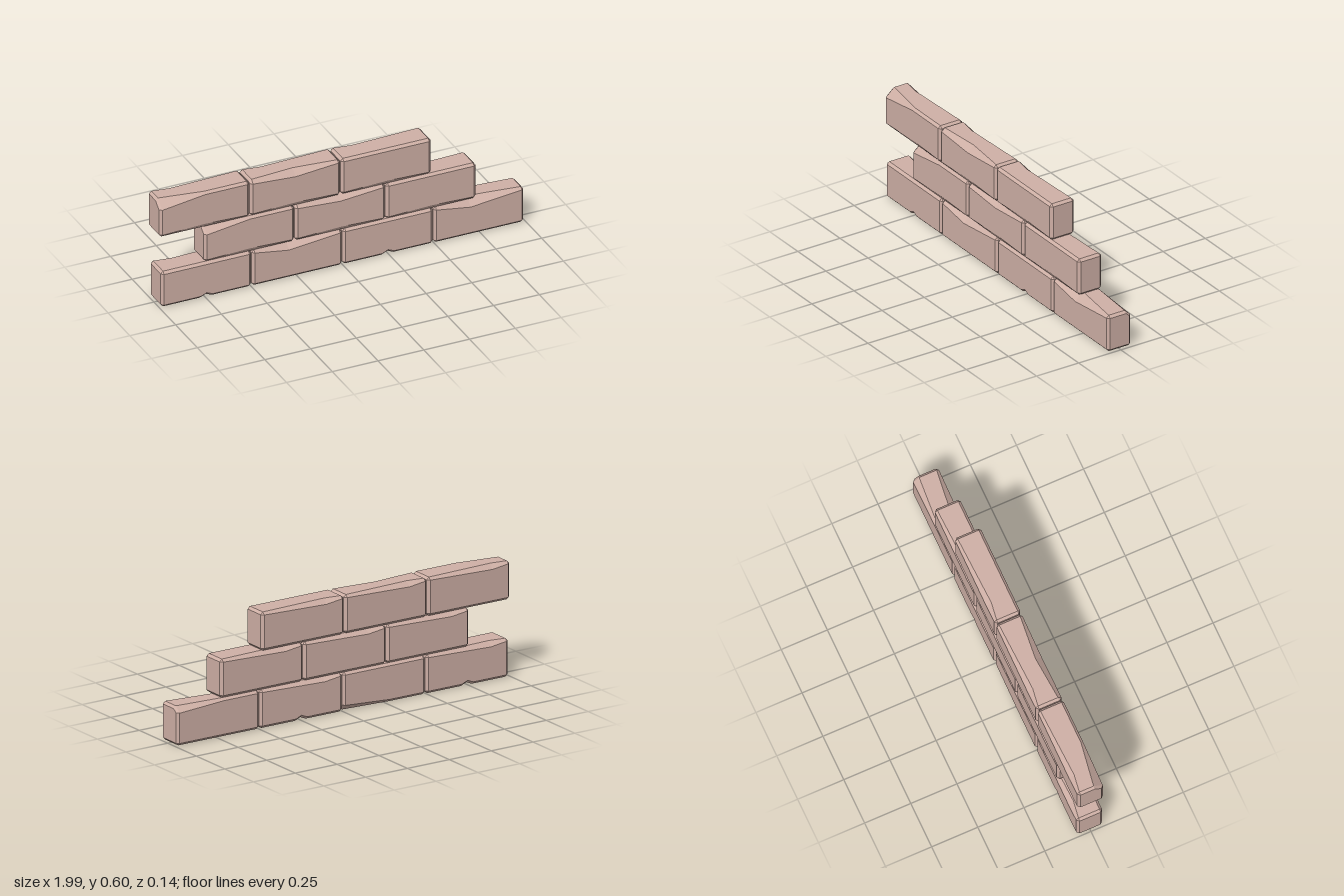
import * as THREE from 'three';

const C = 0.013;   // normal bevel
const H = 0.2;     // course height
const D = 0.07;    // half depth

// Linear interpolation through [t, value] pairs
function at(keys, t) {
  for (let i = 1; i < keys.length; i++) {
    const [t0, a] = keys[i - 1], [t1, b] = keys[i];
    if (t <= t1) return a + (b - a) * (t - t0) / (t1 - t0);
  }
  return keys[keys.length - 1][1];
}
const plain = [[0, C], [1, C]];

// Bevelled brick lofted along x; each long edge has its own wear profile
function brickGeometry(width, wear) {
  const { ft = plain, bt = plain, fb = plain, bb = plain, notch = 0 } = wear;
  const stations = [0, 0.2, 0.4, 0.43, 0.5, 0.57, 0.75, 1];
  const section = (t) => {
    const a = at(ft, t), b = at(bt, t), c = at(fb, t), d = at(bb, t);
    const set = (v) => C + (v - C) * 1.15;
    const y0 = t === 0.5 ? notch : 0;
    return [
      [y0, D - C], [c + y0, D], [H - a, D], [H, D - set(a)],
      [H, -D + set(b)], [H - b, -D], [d + y0, -D], [y0, -D + set(d)],
    ];
  };
  const rings = stations.map((t) => section(t).map(([y, z]) => [C + t * (width - 2 * C), y, z]));
  // End caps are pulled inside the bevel
  const cap = (ring, x) => ring.map(([, y, z]) => [x,
    Math.min(H - C, Math.max(C, y)), Math.min(D - C, Math.max(C - D, z))]);
  rings.unshift(cap(rings[0], 0));
  rings.push(cap(rings[rings.length - 1], width));

  const pos = rings.flat(2), idx = [], n = 8, last = (rings.length - 1) * n;
  for (let r = 0; r < rings.length - 1; r++) {
    for (let j = 0; j < n; j++) {
      const a = r * n + j, b = r * n + (j + 1) % n;
      idx.push(a, a + n, b, b, a + n, b + n);
    }
  }
  for (let j = 1; j < n - 1; j++) {
    idx.push(0, j, j + 1);
    idx.push(last, last + j + 1, last + j);
  }
  const geo = new THREE.BufferGeometry();
  geo.setAttribute('position', new THREE.Float32BufferAttribute(pos, 3));
  geo.setIndex(idx);
  const flat = geo.toNonIndexed();
  flat.computeVertexNormals();
  return flat;
}

export function createModel() {
  const group = new THREE.Group();
  group.name = 'brickWall';
  const clay = new THREE.MeshStandardMaterial({ color: 0xcfb0a6 });
  clay.name = 'paleClay';

  // Wear profiles
  const dip = [[0, C], [0.4, 0.042], [1, C]];
  const leftChip = [[0, 0.045], [0.5, C], [1, C]];
  const sag = [[0, 0.018], [0.5, 0.033], [1, C]];
  const arch = [[0, C], [0.5, 0.021], [1, C]];
  const backChip = [[0, C], [0.2, 0.025], [1, C]];
  const backCorner = [[0, C], [0.43, C], [1, 0.03]];

  const notched = { notch: 0.014, bt: backChip };
  const upper = (ft) => ({ ft, fb: arch, bt: backChip });
  const courses = [
    { x: -0.99, bricks: [notched, { ft: dip, bb: backCorner }, notched, { ft: dip, bt: backCorner }] },
    { x: -0.755, bricks: [upper(leftChip), upper(sag), upper(plain)] },
    { x: -1, bricks: [upper(leftChip), upper(sag), upper(plain)] },
  ];
  const pitch = 0.496, width = 0.492;
  courses.forEach(({ x, bricks }, row) => {
    const course = new THREE.Group();
    course.name = 'course' + (row + 1);
    course.position.y = row * H;
    bricks.forEach((wear, i) => {
      const brick = new THREE.Mesh(brickGeometry(width, wear), clay);
      brick.name = 'brick' + (i + 1);
      brick.position.x = x + i * pitch;
      course.add(brick);
    });
    group.add(course);
  });
  return group;
}
